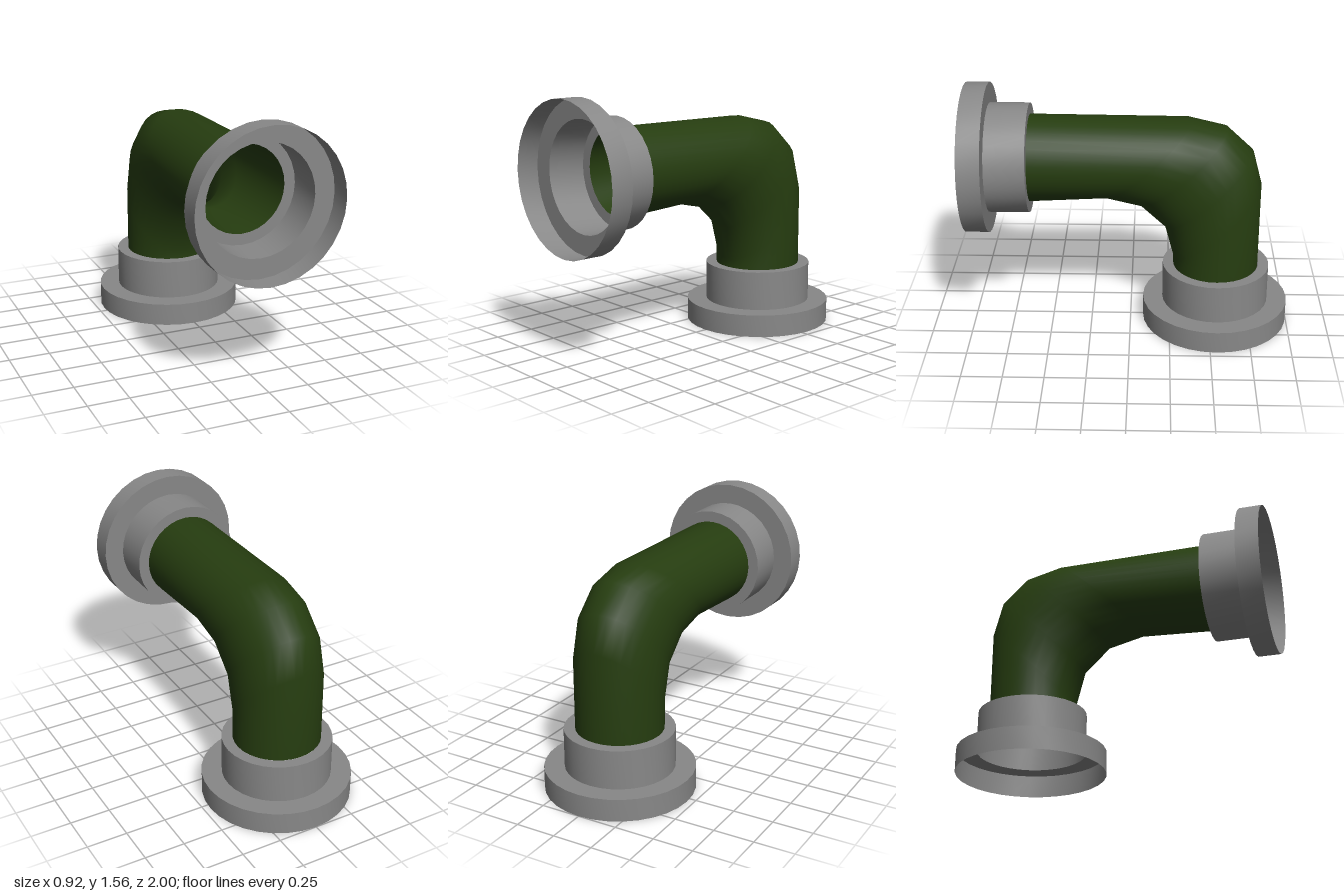
import * as THREE from 'three';
import { toCreasedNormals } from 'three/addons/utils/BufferGeometryUtils.js';

const SIDES = 32;
const RADIUS = 0.268;

// Open stepped collar: wide rim, narrower neck, then a shoulder in to the pipe
function collarGeometry() {
  const profile = [[0.46, 0], [0.46, 0.14], [0.336, 0.14], [0.336, 0.385], [RADIUS, 0.385]]
    .map(([r, y]) => new THREE.Vector2(r, y));
  return toCreasedNormals(new THREE.LatheGeometry(profile, SIDES), 0.6);
}

// Hollow elbow through rings; each ring is a centre (y, z) and the offset
// (y, z) from that centre to the ring's outer edge on the bend
function elbowGeometry() {
  const slant = [0.25, -RADIUS];
  const rings = [
    [0.385, -0.538, 0, -RADIUS],
    [0.688, -0.538, ...slant],
    [0.905, -0.48, ...slant],
    [1.055, -0.32, ...slant],
    [1.108, -0.10, ...slant],
    [1.1, 0.615, RADIUS, 0],
  ];
  const positions = [];
  const indices = [];
  rings.forEach(([y, z, dy, dz], r) => {
    for (let i = 0; i < SIDES; i++) {
      const a = (i / SIDES) * Math.PI * 2;
      positions.push(Math.sin(a) * RADIUS, y + Math.cos(a) * dy, z + Math.cos(a) * dz);
      if (r === 0) continue;
      const next = (i + 1) % SIDES;
      const a0 = (r - 1) * SIDES + i, a1 = (r - 1) * SIDES + next;
      const b0 = r * SIDES + i, b1 = r * SIDES + next;
      indices.push(a0, b0, a1, a1, b0, b1);
    }
  });
  const geometry = new THREE.BufferGeometry();
  geometry.setAttribute('position', new THREE.Float32BufferAttribute(positions, 3));
  geometry.setIndex(indices);
  geometry.computeVertexNormals();
  return geometry;
}

export function createModel() {
  const green = new THREE.MeshStandardMaterial({ color: 0x263d10, side: THREE.DoubleSide });
  green.name = 'dark green';
  const grey = new THREE.MeshStandardMaterial({ color: 0x888888, side: THREE.DoubleSide });
  grey.name = 'grey';

  const model = new THREE.Group();
  model.name = 'pipeElbow';

  const pipe = new THREE.Mesh(elbowGeometry(), green);
  pipe.name = 'elbowPipe';
  model.add(pipe);

  const collar = collarGeometry();
  const bottom = new THREE.Mesh(collar, grey);
  bottom.name = 'bottomCollar';
  bottom.position.set(0, 0, -0.54);
  model.add(bottom);

  const front = new THREE.Mesh(collar, grey);
  front.name = 'frontCollar';
  front.position.set(0, 1.1, 1);
  front.rotation.x = -Math.PI / 2;
  model.add(front);

  return model;
}
